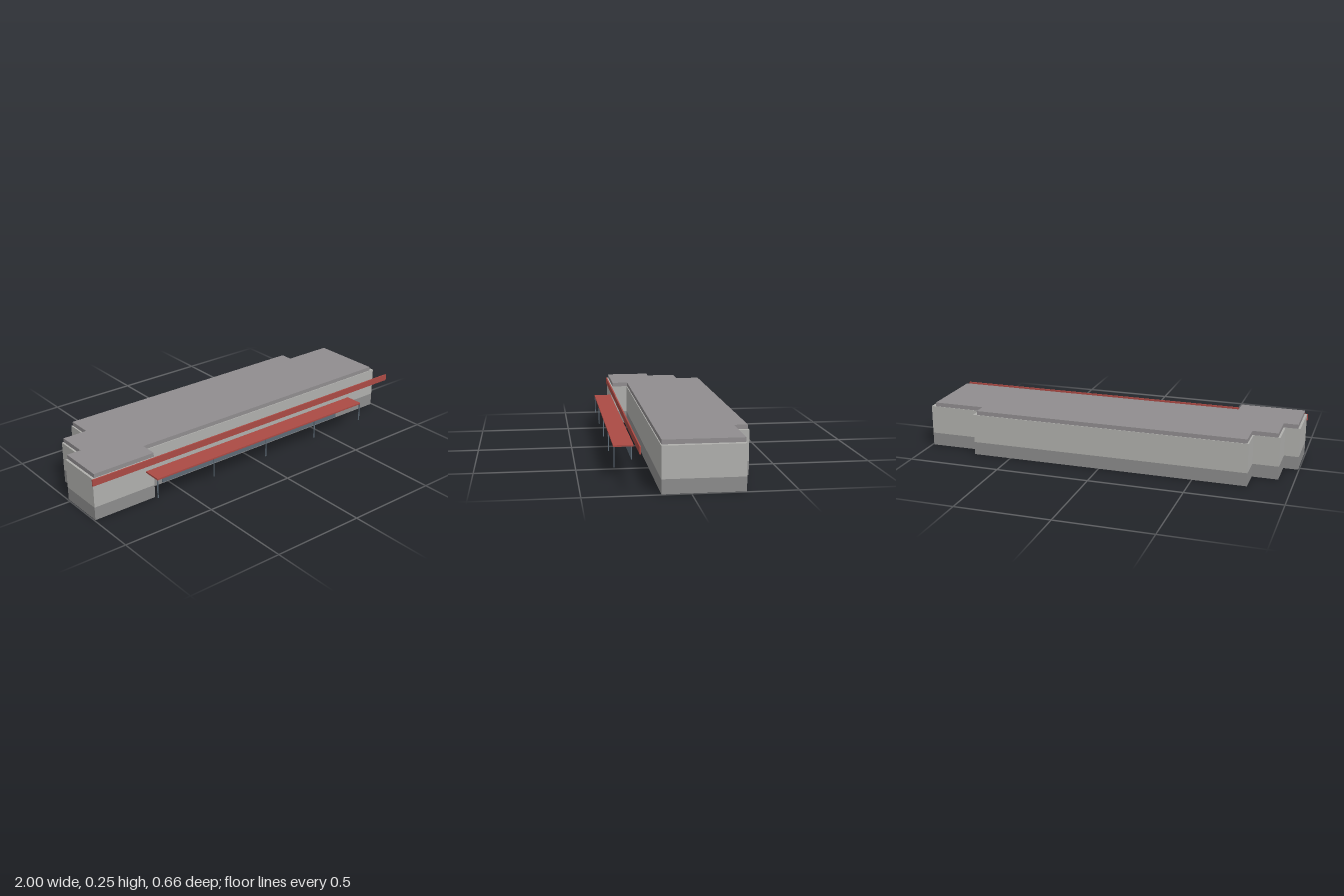
import * as THREE from 'three';

const mat = (name, color) => Object.assign(new THREE.MeshStandardMaterial({ color }), { name });

export function createModel() {
  const group = new THREE.Group();
  const base = mat('dark grey plinth', 0x8c8c8c);
  const wall = mat('light grey wall', 0xb0b0ad);
  const roof = mat('roof grey', 0x908d8f);
  const red = mat('red trim', 0xab4a44);
  const slate = mat('slate glass', 0x5d6a75);

  // Stepped footprint as x, z corners
  const plan = [
    [-0.995, 0.229], [-0.646, 0.229], [-0.646, 0.1375], [0.992, 0.1375],
    [0.992, -0.257], [0.708, -0.257], [0.708, -0.327], [-0.783, -0.327],
    [-0.783, -0.19], [-0.918, -0.19], [-0.918, -0.022], [-0.995, -0.022],
  ];

  function slab(name, material, points, y0, y1) {
    const shape = new THREE.Shape(points.map(([x, z]) => new THREE.Vector2(x, -z)));
    const geo = new THREE.ExtrudeGeometry(shape, { depth: y1 - y0, bevelEnabled: false });
    geo.rotateX(-Math.PI / 2).translate(0, y0, 0);
    const mesh = new THREE.Mesh(geo, material);
    mesh.name = name;
    group.add(mesh);
  }

  // Box given by its extents along each axis
  function box(name, material, [x0, x1], [y0, y1], [z0, z1]) {
    const mesh = new THREE.Mesh(new THREE.BoxGeometry(x1 - x0, y1 - y0, z1 - z0), material);
    mesh.position.set((x0 + x1) / 2, (y0 + y1) / 2, (z0 + z1) / 2);
    mesh.name = name;
    group.add(mesh);
  }

  // Building body, with a slightly inset roof
  slab('plinth', base, plan, 0, 0.07);
  slab('walls', wall, plan, 0.07, 0.225);
  slab('roof', roof, plan.map(([x, z]) => [x * 0.981 - 0.007, z * 0.983 - 0.002]), 0.225, 0.247);

  // Front fascia, window band and canopy
  box('fascia', red, [-1, 1], [0.19, 0.225], [0.229, 0.236]);
  box('windowBand', slate, [-0.6, 0.6], [0.07, 0.154], [0.229, 0.234]);
  box('canopy', red, [-0.695, 0.695], [0.157, 0.165], [0.231, 0.329]);

  // Canopy posts
  for (let i = -2; i <= 2; i++) {
    const x = i * 0.3465;
    box('canopyPost', slate, [x - 0.0025, x + 0.0025], [0.057, 0.157], [0.323, 0.328]);
  }
  return group;
}
